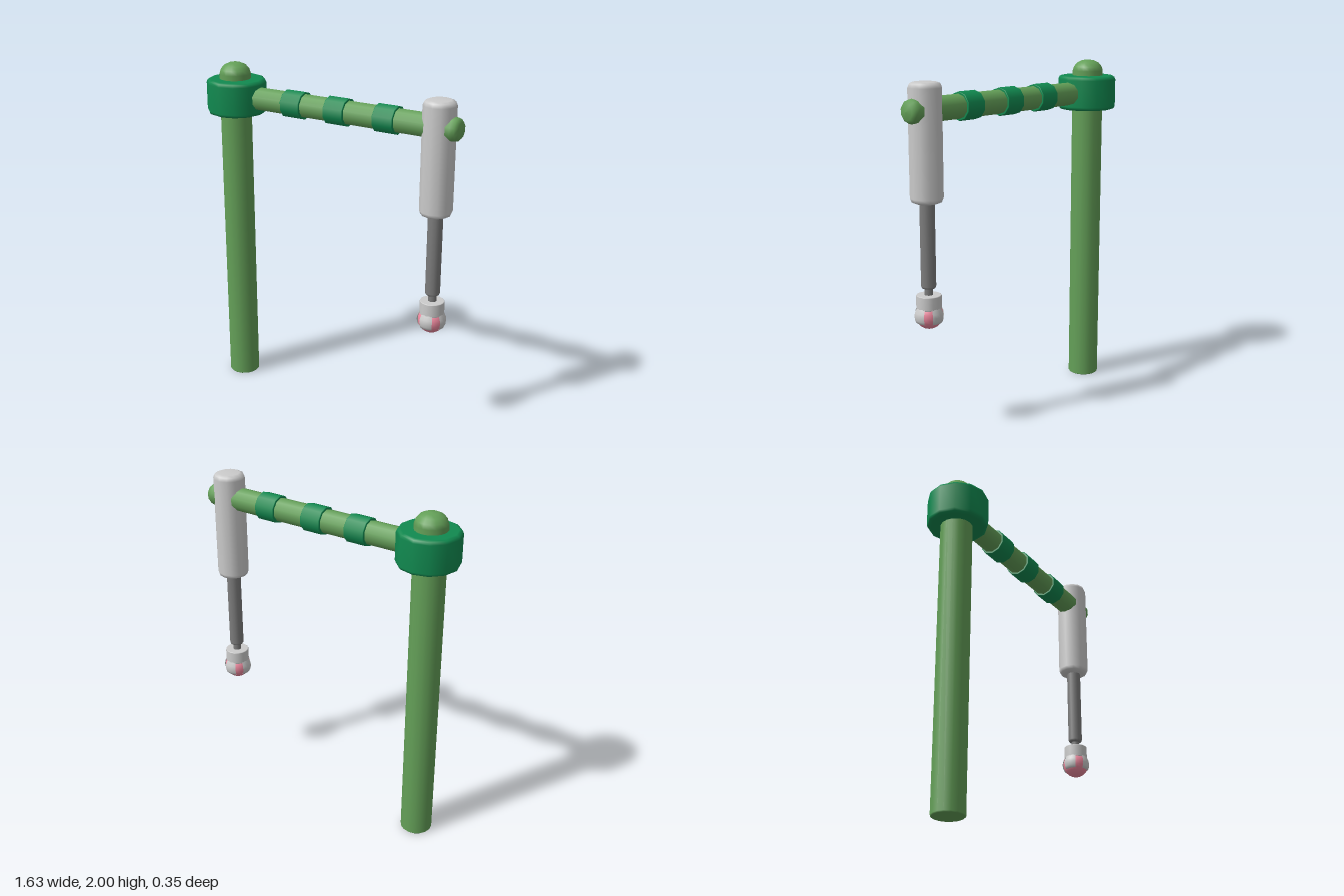
import * as THREE from 'three';

const mat = (color) => new THREE.MeshStandardMaterial({ color });

export function createModel() {
  const model = new THREE.Group();
  const stem = mat(0x64a058), band = mat(0x118a50), grey = mat(0xcccccc);
  const darkGrey = mat(0x7c7c7c), pink = mat(0xf08aa0);

  // Turned part from [radius, height] pairs, bottom to top
  function turned(name, profile, sides, material, x, y, phi = 0) {
    const points = profile.map(([r, h]) => new THREE.Vector2(r, h));
    const mesh = new THREE.Mesh(new THREE.LatheGeometry(points, sides, phi), material);
    mesh.name = name;
    mesh.position.set(x, y, 0);
    model.add(mesh);
    return mesh;
  }
  // Profile of a closed cylinder with bevelled rims
  const bevelled = (r, y0, y1, b) => [
    [0, y0], [r - b, y0], [r - b * 0.3, y0 + b * 0.3], [r, y0 + b],
    [r, y1 - b], [r - b * 0.3, y1 - b * 0.3], [r - b, y1], [0, y1],
  ];

  // Upright post with domed top
  const postX = -0.648;
  turned('post', [[0, 0], [0.086, 0], [0.092, 0.006], [0.092, 1.935], [0.084, 1.96],
    [0.065, 1.983], [0.035, 1.997], [0, 2]], 16, stem, postX, 0);
  turned('hub', bevelled(0.175, 1.705, 1.907, 0.022), 12, band, -0.64, 0);

  // Horizontal arm and its rings
  const armY = 1.805;
  const arm = turned('arm', [[0, -0.6], [0.068, -0.6], [0.068, 0.765], [0.062, 0.79],
    [0.045, 0.807], [0, 0.812]], 10, stem, 0, armY, Math.PI / 2);
  arm.rotation.z = -Math.PI / 2;
  for (const x of [-0.222, 0.063, 0.374]) {
    const ring = turned('armRing', bevelled(0.08, -0.063, 0.063, 0.004), 10, band, x, armY, Math.PI / 2);
    ring.rotation.z = -Math.PI / 2;
  }

  // Hanging sleeve, rod and neck
  const hangX = 0.678;
  turned('sleeve', bevelled(0.092, 1.31, 1.952, 0.03), 12, grey, hangX, 0);
  turned('rod', bevelled(0.042, 0.838, 1.33, 0.015), 12, darkGrey, hangX, 0);
  turned('neck', bevelled(0.024, 0.78, 0.85, 0.003), 10, darkGrey, hangX, 0);

  // Socket holding the ball with four curved prongs
  turned('socket', bevelled(0.07, 0.725, 0.803, 0.004), 16, grey, hangX, 0);
  const ballY = 0.688;
  const ball = new THREE.Mesh(new THREE.SphereGeometry(0.077, 20, 14), pink);
  ball.name = 'ball';
  ball.position.set(hangX, ballY, 0);
  model.add(ball);

  const prongMat = mat(0xcccccc);
  prongMat.side = THREE.DoubleSide;
  const half = Math.PI / 6.4;
  const prongProfile = [[0.06, -0.038], [0.073, -0.038], [0.08, -0.022], [0.083, 0],
    [0.08, 0.02], [0.069, 0.045]].map(([r, h]) => new THREE.Vector2(r, h));
  for (let i = 0; i < 4; i++) {
    const prong = new THREE.Mesh(
      new THREE.LatheGeometry(prongProfile, 5, i * Math.PI / 2 - half, half * 2), prongMat);
    prong.name = 'prong';
    prong.position.set(hangX, ballY, 0);
    model.add(prong);
  }
  return model;
}
